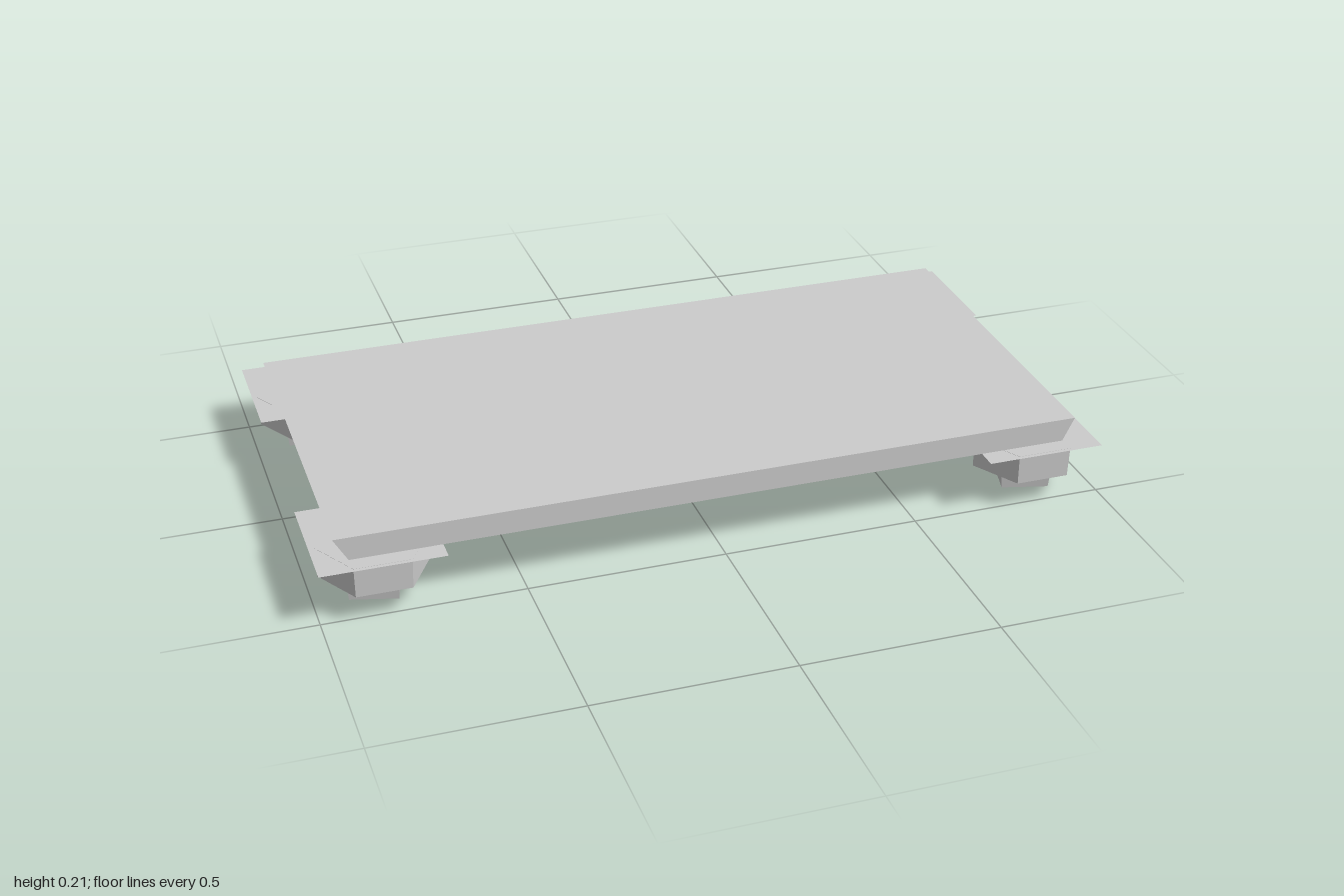
import * as THREE from 'three';

const material = new THREE.MeshStandardMaterial({ color: 0xcccccc, flatShading: true });
const thin = new THREE.MeshStandardMaterial({ color: 0xcccccc, flatShading: true, side: THREE.DoubleSide });

function add(parent, name, geometry, mat = material) {
  const mesh = new THREE.Mesh(geometry, mat);
  mesh.name = name;
  parent.add(mesh);
  return mesh;
}

// Faceted tapered ring section between two heights
function frustum(rTop, rBottom, yTop, yBottom, sides, turn, open = false) {
  const g = new THREE.CylinderGeometry(rTop, rBottom, yTop - yBottom, sides, 1, open, turn);
  return g.translate(0, (yTop + yBottom) / 2, 0);
}

// Foot: hexagonal collar, square peg twisted by 30 degrees, shallow pointed tip
function makeFoot() {
  const foot = new THREE.Group();
  foot.name = 'foot';
  add(foot, 'footCollar', frustum(0.139, 0.136, 0.152, 0.073, 6, Math.PI / 2));
  add(foot, 'footPeg', frustum(0.0905, 0.083, 0.073, 0.02, 4, Math.PI / 6, true));
  add(foot, 'footTip', frustum(0.083, 0, 0.02, 0, 4, Math.PI / 6, true));
  return foot;
}

export function createModel() {
  const model = new THREE.Group();
  model.name = 'platform';

  // Slab: ends slope inward towards the bottom, long sides are upright
  const profile = new THREE.Shape([
    [-0.92, 0.153], [0.90, 0.153], [0.93, 0.213], [-0.955, 0.213],
  ].map(([x, y]) => new THREE.Vector2(x, y)));
  const slab = new THREE.ExtrudeGeometry(profile, { depth: 0.93, bevelEnabled: false });
  add(model, 'slab', slab.translate(0, 0, -0.445));

  // Corners: plate centre x, plate centre z, foot centre z
  const corners = [
    ['frontRight', -0.848, 0.383, 0.405],
    ['frontLeft', 0.833, 0.383, 0.405],
    ['backRight', -0.848, -0.388, -0.373],
    ['backLeft', 0.843, -0.388, -0.373],
  ];
  for (const [name, x, plateZ, footZ] of corners) {
    const plate = new THREE.PlaneGeometry(0.305, 0.305).rotateX(-Math.PI / 2);
    add(model, name + 'Plate', plate, thin).position.set(x, 0.1515, plateZ);
    const foot = makeFoot();
    foot.name = name + 'Foot';
    foot.position.set(x, 0, footZ);
    model.add(foot);
  }
  return model;
}
